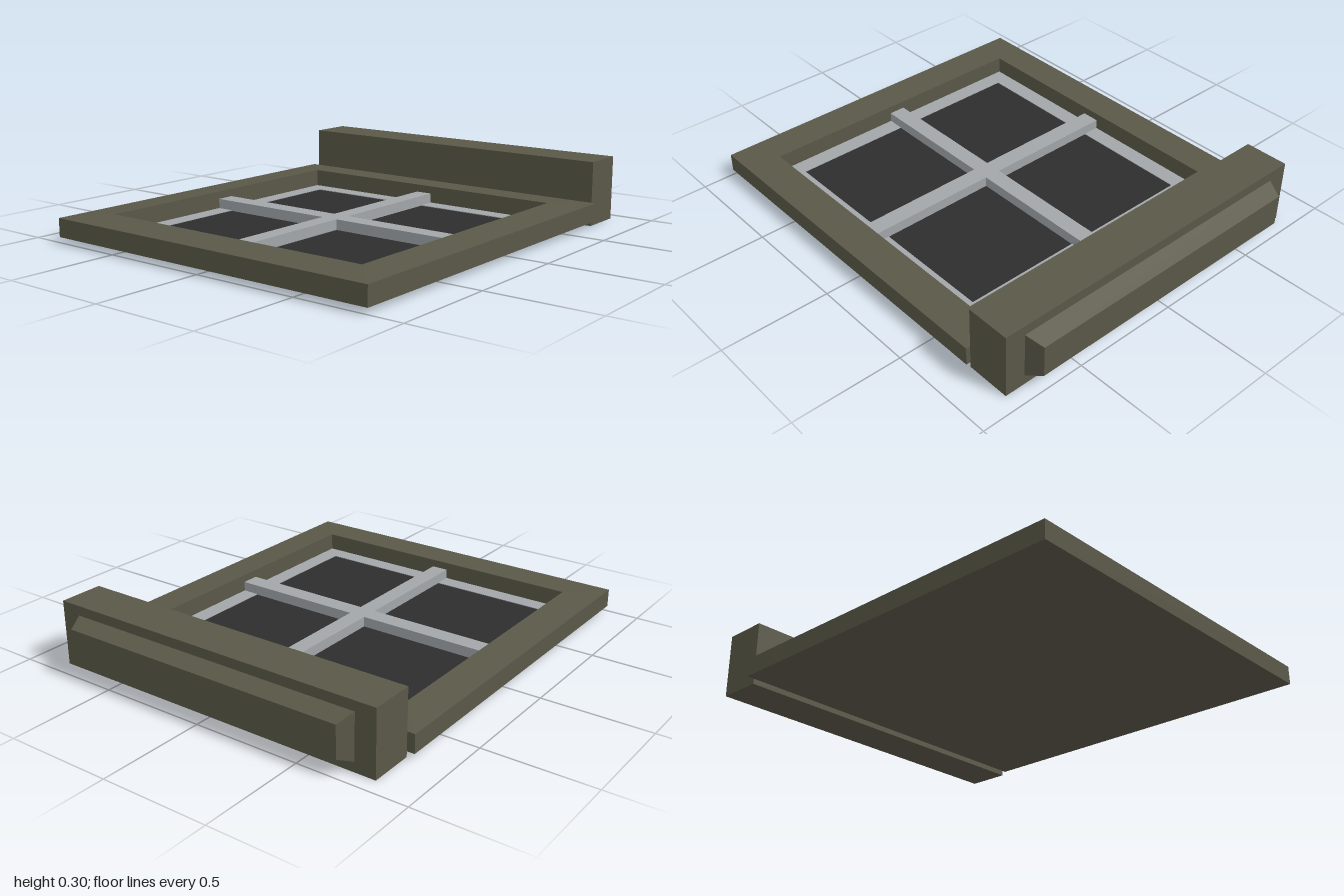
import * as THREE from 'three';

const paint = (color) => new THREE.MeshStandardMaterial({ color, flatShading: true });

// Closed solid from stacked rectangles [x0, x1, z0, z1, y], listed from the bottom cap to the end cap
function loft(rings) {
  const loops = rings.map(([x0, x1, z0, z1, y]) => [[x0, y, z1], [x1, y, z1], [x1, y, z0], [x0, y, z0]]);
  const positions = [];
  const quad = (a, b, c, d) => positions.push(...a, ...b, ...c, ...a, ...c, ...d);
  for (let r = 0; r < loops.length - 1; r++) {
    for (let i = 0; i < 4; i++) {
      const j = (i + 1) % 4;
      quad(loops[r][i], loops[r][j], loops[r + 1][j], loops[r + 1][i]);
    }
  }
  quad(...[...loops[0]].reverse());
  quad(...loops[loops.length - 1]);
  const geometry = new THREE.BufferGeometry();
  geometry.setAttribute('position', new THREE.Float32BufferAttribute(positions, 3));
  geometry.computeVertexNormals();
  return geometry;
}

export function createModel() {
  const model = new THREE.Group();
  model.name = 'windowPanel';
  const frameMaterial = paint(0x5a5848);
  const barMaterial = paint(0xa2a6a9);
  const glassMaterial = paint(0x2d2d2d);

  const add = (name, geometry, material) => {
    const mesh = new THREE.Mesh(geometry, material);
    mesh.name = name;
    model.add(mesh);
    return mesh;
  };
  const block = (x0, x1, y0, y1, z0, z1) =>
    new THREE.BoxGeometry(x1 - x0, y1 - y0, z1 - z0)
      .translate((x0 + x1) / 2, (y0 + y1) / 2, (z0 + z1) / 2);

  // Opening inside the frame, and the cross bar position
  const X = 0.685, Z0 = -0.555, Z1 = 0.825;
  const half = 0.04, lip = 0.08, barZ0 = 0.095, barZ1 = 0.18;

  // Outer frame: top slopes gently up to the opening, floor closed
  add('frame', loft([
    [-0.845, 0.845, -0.72, 1, 0.025],
    [-0.845, 0.845, -0.72, 1, 0.11],
    [-X, X, Z0, Z1, 0.118],
    [-X, X, Z0, Z1, 0.028],
  ]), frameMaterial);

  // Flat border round the glass
  const xs = X - lip;
  add('borderBack', block(-X, X, 0.028, 0.037, Z0, Z0 + lip), barMaterial);
  add('borderFront', block(-X, X, 0.028, 0.037, Z1 - lip, Z1), barMaterial);
  for (const [name, side] of [['borderLeft', 1], ['borderRight', -1]]) {
    const middle = side * (X - lip / 2);
    add(name, block(middle - lip / 2, middle + lip / 2, 0.028, 0.037, Z0 + lip, Z1 - lip), barMaterial);
  }

  // Four dark panes
  for (const [x0, x1] of [[-xs, -half], [half, xs]]) {
    for (const [z0, z1] of [[Z0 + lip, barZ0], [barZ1, Z1 - lip]]) {
      add('pane', block(x0, x1, 0.028, 0.034, z0, z1), glassMaterial);
    }
  }

  // Raised crossing bars
  add('longBar', block(-half, half, 0.028, 0.082, Z0, Z1), barMaterial);
  add('crossBarLeft', block(half, X, 0.028, 0.082, barZ0, barZ1), barMaterial);
  add('crossBarRight', block(-X, -half, 0.028, 0.082, barZ0, barZ1), barMaterial);

  // Thick ledge at the back
  add('ledge', block(-0.81, 0.825, 0, 0.3, -0.925, -0.72), frameMaterial);

  // Tapered block on the back of the ledge, lofted upright and tipped to face -z
  add('ledgeBoss', loft([
    [-0.715, 0.73, 0.045, 0.255, 0.925],
    [-0.685, 0.7, 0.08, 0.225, 1],
  ]).rotateX(-Math.PI / 2), frameMaterial);

  return model;
}
